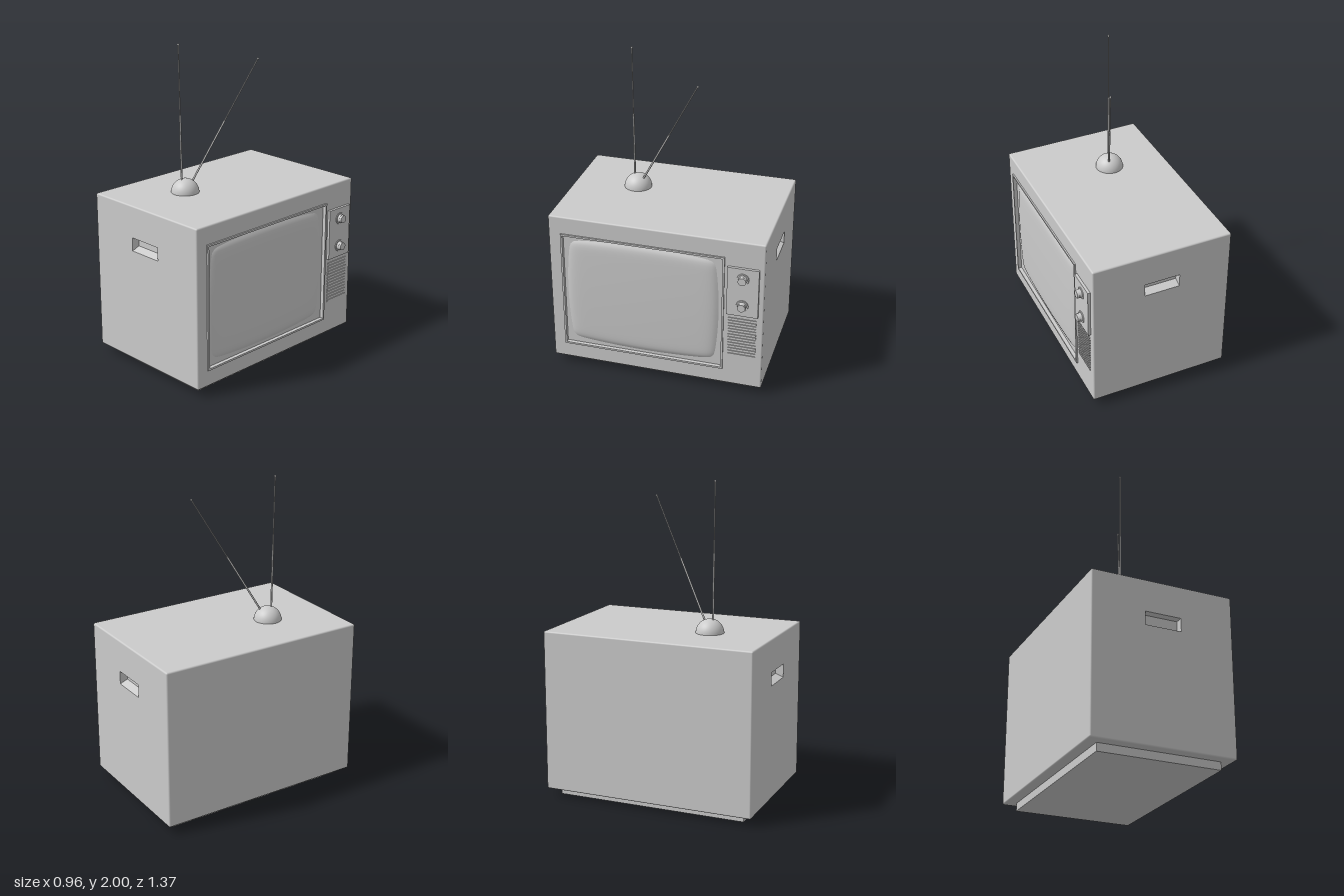
import * as THREE from 'three';
import { RoundedBoxGeometry } from 'three/addons/geometries/RoundedBoxGeometry.js';

const grey = new THREE.MeshStandardMaterial({ color: 0xcccccc });
const greyDouble = new THREE.MeshStandardMaterial({ color: 0xcccccc, side: THREE.DoubleSide });

// Cabinet dimensions; the screen side faces +x
const W = 0.91, H = 1.02, D = 1.365, R = 0.01;
const CX = -0.025, CY = 0.56, FACE = CX + W / 2;
const HANDLE = { x: -0.025, y: 0.823, w: 0.23, h: 0.085, depth: 0.05 };
const SCREEN = { z: 0.085, y: 0.555, w: 1.04, h: 0.80 };

function add(parent, name, geometry, x = 0, y = 0, z = 0, material = grey) {
  const mesh = new THREE.Mesh(geometry, material);
  mesh.name = name;
  mesh.position.set(x, y, z);
  parent.add(mesh);
  return mesh;
}

function rect(Type, cx, cy, w, h) {
  const s = new Type();
  s.moveTo(cx - w / 2, cy - h / 2);
  s.lineTo(cx + w / 2, cy - h / 2);
  s.lineTo(cx + w / 2, cy + h / 2);
  s.lineTo(cx - w / 2, cy + h / 2);
  s.closePath();
  return s;
}

// Rounded box without its flat +x and +-z faces, which get cut-outs instead
function cabinetShell() {
  const src = new RoundedBoxGeometry(W, H, D, 2, R);
  const p = src.attributes.position, n = src.attributes.normal;
  const pos = [], nor = [];
  for (let i = 0; i < p.count; i += 3) {
    const t = [i, i + 1, i + 2];
    const flat = t.every(k => p.getX(k) > W / 2 - 1e-5)
      || t.every(k => p.getZ(k) > D / 2 - 1e-5)
      || t.every(k => p.getZ(k) < -D / 2 + 1e-5);
    if (flat) continue;
    for (const k of t) {
      pos.push(p.getX(k), p.getY(k), p.getZ(k));
      nor.push(n.getX(k), n.getY(k), n.getZ(k));
    }
  }
  const g = new THREE.BufferGeometry();
  g.setAttribute('position', new THREE.Float32BufferAttribute(pos, 3));
  g.setAttribute('normal', new THREE.Float32BufferAttribute(nor, 3));
  return g;
}

// Open box with a floor that rises towards the back
function handlePocket() {
  const { w, h, depth } = HANDLE;
  const box = new THREE.BoxGeometry(w, h, depth);
  const index = Array.from(box.index.array);
  index.splice(24, 6);
  box.setIndex(index);
  const p = box.attributes.position;
  for (let i = 0; i < p.count; i++) {
    if (p.getY(i) < 0 && p.getZ(i) < 0) p.setY(i, p.getY(i) + 0.02);
  }
  const g = box.toNonIndexed();
  g.computeVertexNormals();
  return g;
}

// Barrel-shaped, bulging picture tube with edges that dive into the bezel
function screenGeometry() {
  const g = new THREE.PlaneGeometry(2, 2, 48, 40);
  const p = g.attributes.position;
  for (let i = 0; i < p.count; i++) {
    const u = p.getX(i), v = p.getY(i);
    const edge = Math.pow(Math.abs(u), 18) + Math.pow(Math.abs(v), 18);
    p.setXYZ(i,
      u * 0.4925 * (1 - 0.035 * v * v),
      v * 0.379 * (1 - 0.045 * u * u),
      0.438 - 0.006 * (u * u + v * v) - 0.02 * edge);
  }
  g.computeVertexNormals();
  return g.rotateY(Math.PI / 2);
}

// Two-stage telescopic rod with a small tip
function antennaRod(parent, from, to) {
  const a = new THREE.Vector3(...from), b = new THREE.Vector3(...to);
  const length = a.distanceTo(b);
  const rod = new THREE.Group();
  rod.name = 'antennaRod';
  rod.position.copy(a);
  rod.quaternion.setFromUnitVectors(new THREE.Vector3(0, 1, 0), b.clone().sub(a).normalize());
  add(rod, 'lowerRod', new THREE.CylinderGeometry(0.006, 0.006, length / 2, 10), 0, length / 4);
  add(rod, 'upperRod', new THREE.CylinderGeometry(0.004, 0.004, length / 2, 10), 0, length * 0.75);
  add(rod, 'rodTip', new THREE.SphereGeometry(0.007, 10, 8), 0, length - 0.006);
  parent.add(rod);
}

export function createModel() {
  const model = new THREE.Group();
  model.name = 'television';

  // Cabinet and plinth
  add(model, 'cabinetShell', cabinetShell(), CX, CY, 0);
  add(model, 'plinth', new THREE.BoxGeometry(0.77, 0.06, 1.23), CX, 0.03, 0);

  // Side faces with recessed hand grips
  for (const s of [1, -1]) {
    const side = new THREE.Group();
    side.name = s > 0 ? 'frontSide' : 'backSide';
    const face = rect(THREE.Shape, CX, CY, W - 2 * R, H - 2 * R);
    face.holes.push(rect(THREE.Path, HANDLE.x, HANDLE.y, HANDLE.w, HANDLE.h));
    add(side, 'sideFace', new THREE.ShapeGeometry(face), 0, 0, D / 2);
    add(side, 'handleRecess', handlePocket(), HANDLE.x, HANDLE.y, D / 2 - HANDLE.depth / 2, greyDouble);
    if (s < 0) {
      side.rotation.y = Math.PI;
      side.position.x = 2 * CX;
    }
    model.add(side);
  }

  // Screen face, drawn with x as -z and then turned to +x
  const face = rect(THREE.Shape, 0, CY, D - 2 * R, H - 2 * R);
  face.holes.push(rect(THREE.Path, -SCREEN.z, SCREEN.y, SCREEN.w, SCREEN.h));
  add(model, 'screenFace', new THREE.ShapeGeometry(face).rotateY(Math.PI / 2), FACE, 0, 0);

  // Raised rim, recessed bezel and picture tube
  const rim = rect(THREE.Shape, 0, 0, SCREEN.w, SCREEN.h);
  rim.holes.push(rect(THREE.Path, 0, 0, SCREEN.w - 0.024, SCREEN.h - 0.024));
  const rimGeometry = new THREE.ExtrudeGeometry(rim, { depth: 0.03, bevelEnabled: false });
  add(model, 'screenRim', rimGeometry.rotateY(Math.PI / 2), 0.409, SCREEN.y, SCREEN.z);
  add(model, 'bezel', new THREE.BoxGeometry(0.01, SCREEN.h, SCREEN.w), 0.41, SCREEN.y, SCREEN.z);
  add(model, 'screen', screenGeometry(), 0, 0.559, 0.0875);

  // Control panel with two knobs
  add(model, 'controlPanel', new THREE.BoxGeometry(0.022, 0.33, 0.195), 0.436, 0.735, -0.552);
  for (const y of [0.83, 0.645]) {
    const knob = new THREE.Group();
    knob.name = 'knob';
    knob.position.set(0.447, y, -0.552);
    knob.rotation.z = -Math.PI / 2;
    add(knob, 'knobFlange', new THREE.CylinderGeometry(0.036, 0.038, 0.004, 32), 0, 0.002);
    add(knob, 'knobBody', new THREE.CylinderGeometry(0.027, 0.028, 0.02, 32), 0, 0.01);
    add(knob, 'knobCap', new THREE.CylinderGeometry(0.025, 0.026, 0.015, 32), 0, 0.0255);
    model.add(knob);
  }

  // Speaker grille of horizontal slats
  const slats = 14;
  for (let i = 0; i < slats; i++) {
    add(model, 'speakerSlat', new THREE.BoxGeometry(0.012, 0.011, 0.175),
      0.429, 0.275 + i * 0.02, -0.552);
  }

  // Antenna dome and rods
  add(model, 'antennaDome', new THREE.SphereGeometry(0.088, 40, 16, 0, Math.PI * 2, 0, Math.PI / 2),
    -0.112, 1.068, 0.273);
  antennaRod(model, [-0.117, 1.12, 0.295], [-0.122, 2, 0.305]);
  antennaRod(model, [-0.094, 1.12, 0.24], [0.082, 1.875, -0.168]);

  return model;
}
